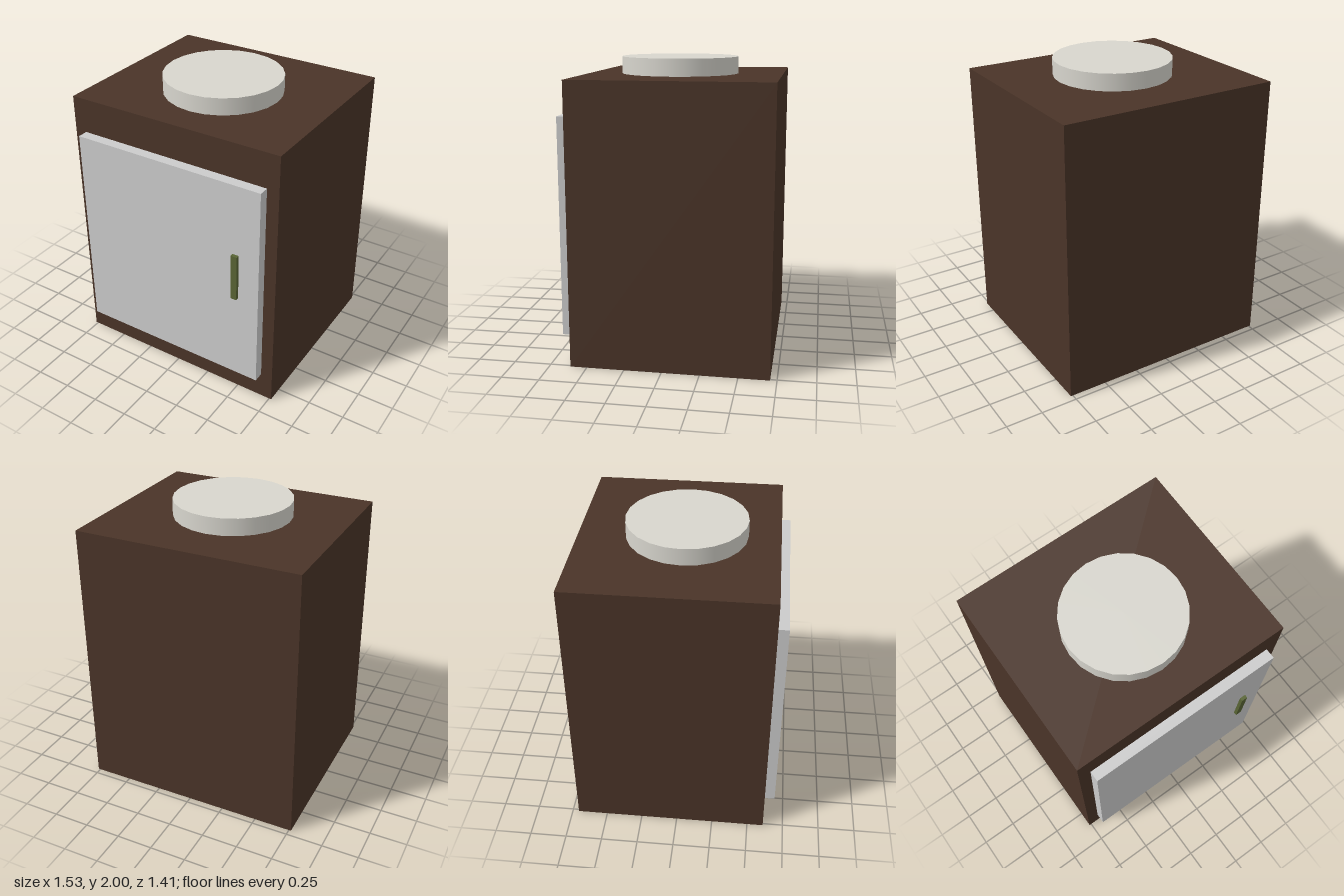
import * as THREE from 'three';

const material = (color) => new THREE.MeshStandardMaterial({ color });

export function createModel() {
  const model = new THREE.Group();
  model.name = 'cabinet';

  // Box given by its min and max corners
  const addBox = (name, [x0, y0, z0], [x1, y1, z1], color) => {
    const mesh = new THREE.Mesh(new THREE.BoxGeometry(x1 - x0, y1 - y0, z1 - z0), material(color));
    mesh.position.set((x0 + x1) / 2, (y0 + y1) / 2, (z0 + z1) / 2);
    mesh.name = name;
    model.add(mesh);
  };

  // Wooden body, door panel and its pull handle
  addBox('body', [-0.765, 0, -0.706], [0.765, 1.885, 0.611], 0x4a3428);
  addBox('door', [-0.682, 0.19, 0.58], [0.682, 1.648, 0.682], 0xcccccc);
  addBox('handle', [0.493, 0.825, 0.66], [0.537, 1.155, 0.706], 0x586434);

  // Round disc on the top
  const disc = new THREE.Mesh(new THREE.CylinderGeometry(0.4, 0.4, 0.135, 24), material(0xd8d6ce));
  disc.position.y = 2 - 0.135 / 2;
  disc.name = 'topDisc';
  model.add(disc);

  return model;
}
